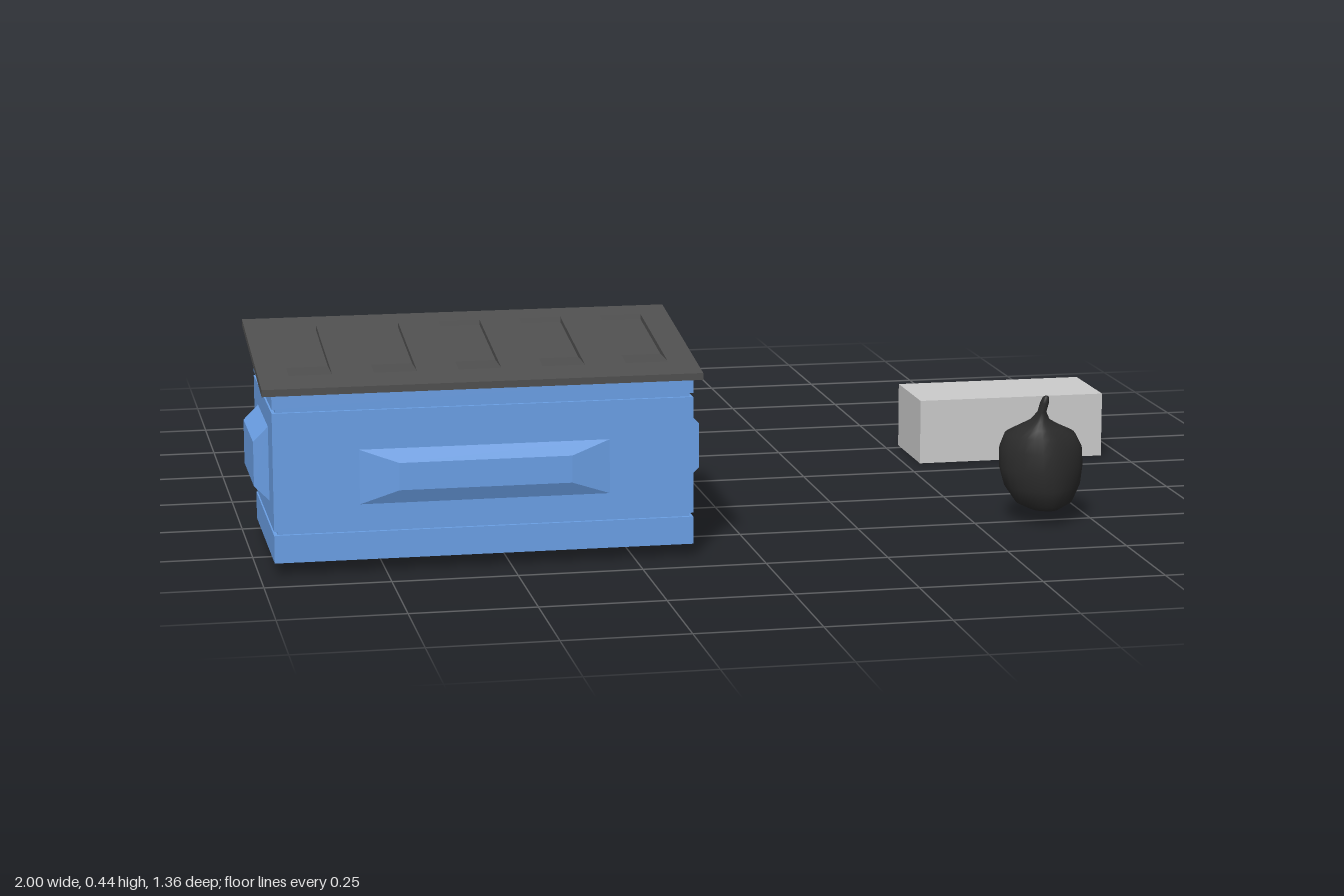
import * as THREE from 'three';

const mat = (color, extra = {}) => new THREE.MeshStandardMaterial({ color, ...extra });

function add(parent, name, geometry, material, x = 0, y = 0, z = 0) {
  const mesh = new THREE.Mesh(geometry, material);
  mesh.name = name;
  mesh.position.set(x, y, z);
  parent.add(mesh);
  return mesh;
}

// Prism along x from a list of [z, y] points
function prismX(points, x0, x1) {
  const shape = new THREE.Shape(points.map(([z, y]) => new THREE.Vector2(-z, y)));
  const g = new THREE.ExtrudeGeometry(shape, { depth: x1 - x0, bevelEnabled: false });
  return g.rotateY(Math.PI / 2).translate(x0, 0, 0);
}

// Box standing on z = 0 whose +z face is scaled by sx, sy
function taperedBox(w, h, d, sx, sy) {
  const g = new THREE.BoxGeometry(w, h, d).translate(0, 0, d / 2);
  const p = g.attributes.position;
  for (let i = 0; i < p.count; i++) {
    if (p.getZ(i) > d / 2) p.setXY(i, p.getX(i) * sx, p.getY(i) * sy);
  }
  g.computeVertexNormals();
  return g;
}

function makeDumpster() {
  const group = new THREE.Group();
  group.name = 'dumpster';
  const blue = mat(0x6ba0e6), dark = mat(0x505050);
  const x0 = -0.97, x1 = -0.13, z0 = 0.263, z1 = 0.66, s = 0.007;
  const lidTop = (z) => 0.443 - (z - 0.245) * 0.146;
  const under = (z) => lidTop(z) - 0.014;

  // Inset core shows as grooves between the three wall bands
  add(group, 'core', prismX([[z0 + s, 0.04], [z0 + s, 0.36], [z1 - s, 0.36], [z1 - s, 0.04]], x0 + s, x1 - s), blue);
  add(group, 'lowerBand', prismX([[z0, 0.028], [z0, 0.084], [z1, 0.084], [z1, 0.028]], x0, x1), blue);
  add(group, 'middleBand', prismX([[z0, 0.092], [z0, 0.329], [z1, 0.329], [z1, 0.092]], x0, x1), blue);
  add(group, 'upperBand', prismX([[z0, 0.337], [z0, under(z0)], [z1, under(z1)], [z1, 0.337]], x0, x1), blue);

  // Raised panels on the front and both ends
  add(group, 'frontPanel', taperedBox(0.5, 0.11, 0.012, 0.69, 0.5), blue, -0.55, 0.195, z1);
  for (const side of [-1, 1]) {
    const end = add(group, 'sidePocket', taperedBox(0.22, 0.15, 0.03, 1, 0.6), blue,
      side > 0 ? x1 : x0, 0.21, 0.46);
    end.rotation.y = side * Math.PI / 2;
  }

  // Lid: plain strips alternate with strips that hold a recess
  const back = 0.245, front = 0.676, left = -0.99, right = -0.113;
  const base = [[front, lidTop(front)], [front, under(front)], [back, under(back)], [back, lidTop(back)]];
  const recess = [[0.3, lidTop(0.3)], [0.302, lidTop(0.302) - 0.011],
    [0.52, lidTop(0.52) - 0.011], [0.6, lidTop(0.6)]];
  let edge = left;
  for (let i = 0; i < 5; i++) {
    const a = -0.93 + i * 0.1685, b = a + 0.086;
    add(group, 'lidRib', prismX(base, edge, a), dark);
    add(group, 'lidRecess', prismX([...base, ...recess], a, b), dark);
    edge = b;
  }
  add(group, 'lidRib', prismX(base, edge, right), dark);
  return group;
}

// Lumpy bag lofted through rings of [y, centre x, centre z, radius x, radius z]
function makeBag() {
  const rings = [
    [0.031, 0.65, 0.495, 0.001, 0.001], [0.032, 0.65, 0.495, 0.035, 0.05], [0.045, 0.648, 0.493, 0.06, 0.075],
    [0.08, 0.645, 0.489, 0.08, 0.088], [0.12, 0.643, 0.487, 0.088, 0.094],
    [0.16, 0.642, 0.489, 0.087, 0.09], [0.19, 0.639, 0.496, 0.074, 0.077],
    [0.208, 0.632, 0.516, 0.045, 0.052], [0.225, 0.628, 0.533, 0.02, 0.027],
    [0.245, 0.627, 0.547, 0.009, 0.013], [0.265, 0.63, 0.554, 0.009, 0.012],
    [0.278, 0.632, 0.557, 0.006, 0.007], [0.281, 0.633, 0.557, 0.0005, 0.0005],
  ];
  const n = 28, pos = [], index = [];
  rings.forEach(([y, cx, cz, rx, rz], j) => {
    for (let i = 0; i < n; i++) {
      const a = (i / n) * Math.PI * 2;
      const k = 1 + 0.025 * Math.sin(5 * a + j * 0.5) + 0.04 * Math.cos(2 * a - 1.9 * Math.PI / 1.27);
      pos.push(cx + Math.sin(a) * rx * k, y, cz + Math.cos(a) * rz * k);
      if (j) {
        const i2 = (i + 1) % n, p = (j - 1) * n, q = j * n;
        index.push(p + i, p + i2, q + i2, p + i, q + i2, q + i);
      }
    }
  });
  const g = new THREE.BufferGeometry();
  g.setAttribute('position', new THREE.Float32BufferAttribute(pos, 3));
  g.setIndex(index);
  g.computeVertexNormals();
  const mesh = new THREE.Mesh(g, mat(0x2c2c2c));
  mesh.name = 'rubbishBag';
  return mesh;
}

// Carton lying on its side, its gable end pointing to +x
function makeCarton() {
  const group = new THREE.Group();
  group.name = 'carton';
  const gold = mat(0xa38435, { side: THREE.DoubleSide });
  add(group, 'cartonBody', new THREE.BoxGeometry(0.145, 0.05, 0.056), gold, 0.0725, 0, 0);
  for (const side of [-1, 1]) {
    const flap = new THREE.PlaneGeometry(Math.hypot(0.025, 0.025), 0.058).rotateX(-Math.PI / 2);
    const mesh = add(group, 'gableFlap', flap, gold, 0.1575, side * 0.0125, 0);
    mesh.rotation.z = -side * Math.PI / 4;
  }
  add(group, 'gableFin', new THREE.BoxGeometry(0.016, 0.003, 0.06), gold, 0.177, 0, 0);
  group.position.set(0.815, 0.034, -0.648);
  group.rotation.y = 0.02;
  return group;
}

export function createModel() {
  const model = new THREE.Group();
  model.name = 'alleyRubbish';
  model.add(makeDumpster(), makeBag(), makeCarton());
  add(model, 'box', new THREE.BoxGeometry(0.42, 0.142, 0.195), mat(0xcccccc), 0.744, 0.074, -0.177);
  return model;
}
